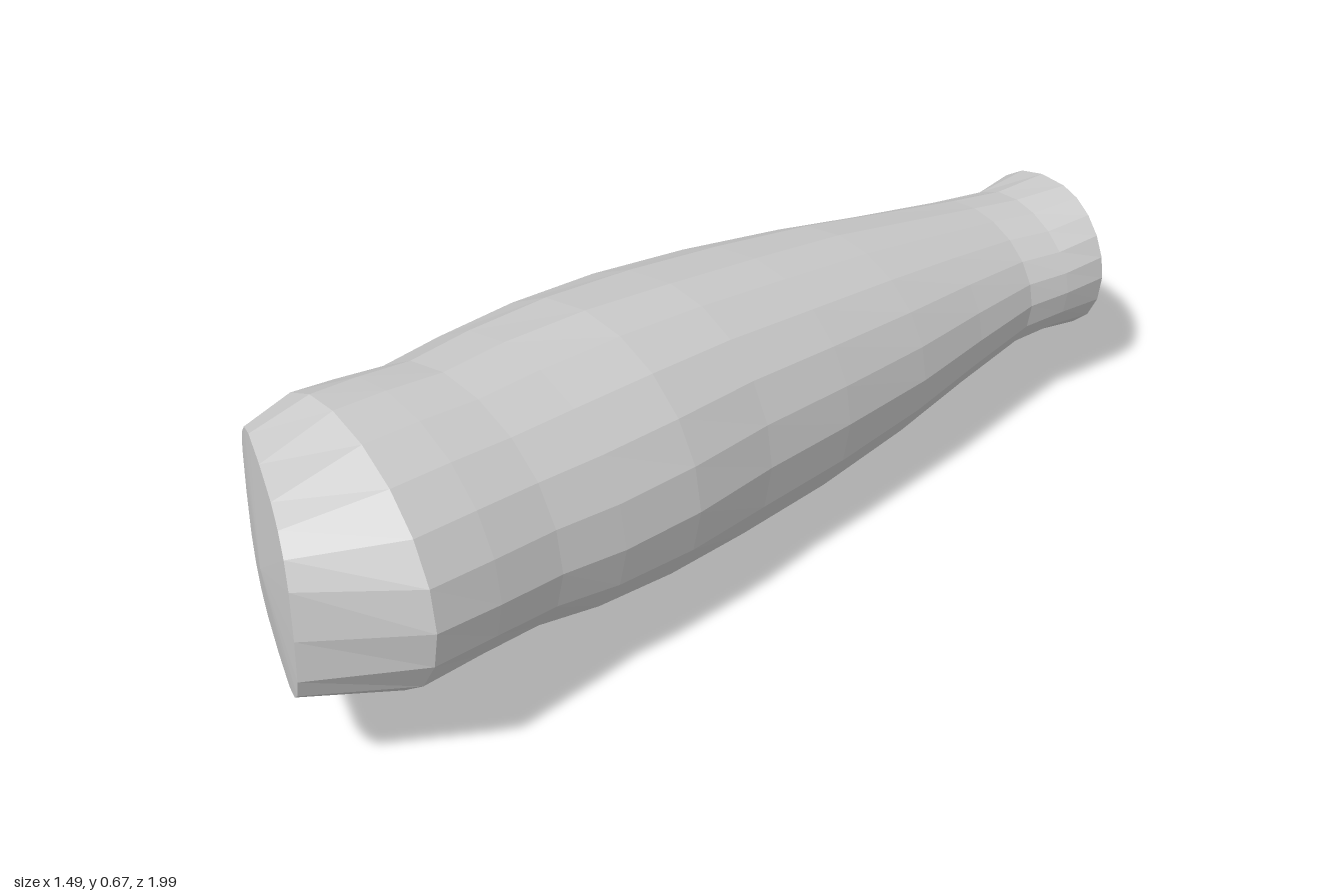
import * as THREE from 'three';

// Horizontal direction of the limb's axis (t) and of its width (u)
const place = (t, u, y) => [0.58 * t + 0.815 * u, y, -0.815 * t + 0.58 * u];

// Sections from wrist to elbow: position along the axis, skew, then the
// (u, y) of the left, top, right and bottom extremes
const SECTIONS = [
  [1.04, -0.27, -0.19, 0.28, 0.06, 0.45, 0.213, 0.3, 0.01, 0.112],
  [0.92, -0.2, -0.18, 0.26, 0.02, 0.44, 0.203, 0.3, 0, 0.135],
  [0.8, -0.1, -0.21, 0.255, 0, 0.455, 0.186, 0.3, -0.02, 0.125],
  [0.6, 0, -0.262, 0.25, -0.01, 0.495, 0.204, 0.3, -0.05, 0.09],
  [0.4, 0, -0.312, 0.25, -0.02, 0.535, 0.228, 0.3, -0.08, 0.05],
  [0.16, 0, -0.37, 0.25, -0.02, 0.575, 0.246, 0.31, -0.11, 0.012],
  [-0.07, 0, -0.398, 0.25, -0.02, 0.61, 0.257, 0.32, -0.13, 0],
  [-0.28, 0, -0.391, 0.255, -0.03, 0.632, 0.28, 0.33, -0.15, 0.02],
  [-0.47, 0, -0.366, 0.27, -0.04, 0.638, 0.283, 0.34, -0.13, 0.055],
  [-0.62, 0, -0.334, 0.3, -0.03, 0.643, 0.28, 0.36, -0.11, 0.1],
  [-0.75, -0.08, -0.33, 0.34, -0.03, 0.66, 0.294, 0.38, -0.06, 0.13],
  [-0.87, -0.18, -0.317, 0.4, -0.03, 0.67, 0.303, 0.4, -0.03, 0.14],
  [-1.035, -0.5, -0.275, 0.4, -0.06, 0.61, 0.152, 0.4, -0.06, 0.205],
];
const STEPS = 5; // points per quarter of a section
const SIDES = STEPS * 4;

// One closed section made of four quarter arcs: left, top, right, bottom
function section([t, skew, ...p], isCap) {
  const ring = [];
  for (let q = 0; q < 4; q++) {
    const [u0, y0] = [p[q * 2], p[q * 2 + 1]];
    const n = ((q + 1) % 4) * 2;
    const [u1, y1] = [p[n], p[n + 1]];
    const sideFirst = q % 2 === 0;
    for (let s = 0; s < STEPS; s++) {
      const a = (s / STEPS) * Math.PI / 2;
      const e = isCap ? 0.65 : 1;
      // the lower left quarter meets the left side in a crease
      const crease = q === 3 && t > -0.7 ? 1.35 : e;
      const c = Math.cos(a) ** e;
      const d = Math.sin(a) ** crease;
      const u = sideFirst ? u1 + (u0 - u1) * c : u0 + (u1 - u0) * d;
      const y = sideFirst ? y0 + (y1 - y0) * d : y1 + (y0 - y1) * c;
      ring.push(place(t + skew * u, u, y));
    }
  }
  return ring;
}

function meshFrom(name, points, index) {
  const geometry = new THREE.BufferGeometry();
  geometry.setAttribute('position', new THREE.Float32BufferAttribute(points.flat(), 3));
  geometry.setIndex(index);
  geometry.computeVertexNormals();
  const material = new THREE.MeshStandardMaterial({
    color: 0xcccccc, flatShading: true, side: THREE.DoubleSide,
  });
  const mesh = new THREE.Mesh(geometry, material);
  mesh.name = name;
  return mesh;
}

export function createModel() {
  const group = new THREE.Group();
  group.name = 'forearm';
  const rings = SECTIONS.map((s, i) => section(s, i === SECTIONS.length - 1));

  // Sleeve, open at the wrist
  const sides = [];
  for (let r = 0; r < rings.length - 1; r++) {
    for (let i = 0; i < SIDES; i++) {
      const j = (i + 1) % SIDES;
      const a = r * SIDES + i, b = r * SIDES + j;
      sides.push(a, a + SIDES, b, b, a + SIDES, b + SIDES);
    }
  }
  group.add(meshFrom('armShell', rings.flat(), sides));

  // Closed elbow end, very slightly domed
  const rim = rings[rings.length - 1];
  const cap = [];
  for (let i = 0; i < SIDES; i++) cap.push(SIDES, (i + 1) % SIDES, i);
  group.add(meshFrom('elbowCap', [...rim, place(-1.025, -0.06, 0.4)], cap));
  return group;
}
